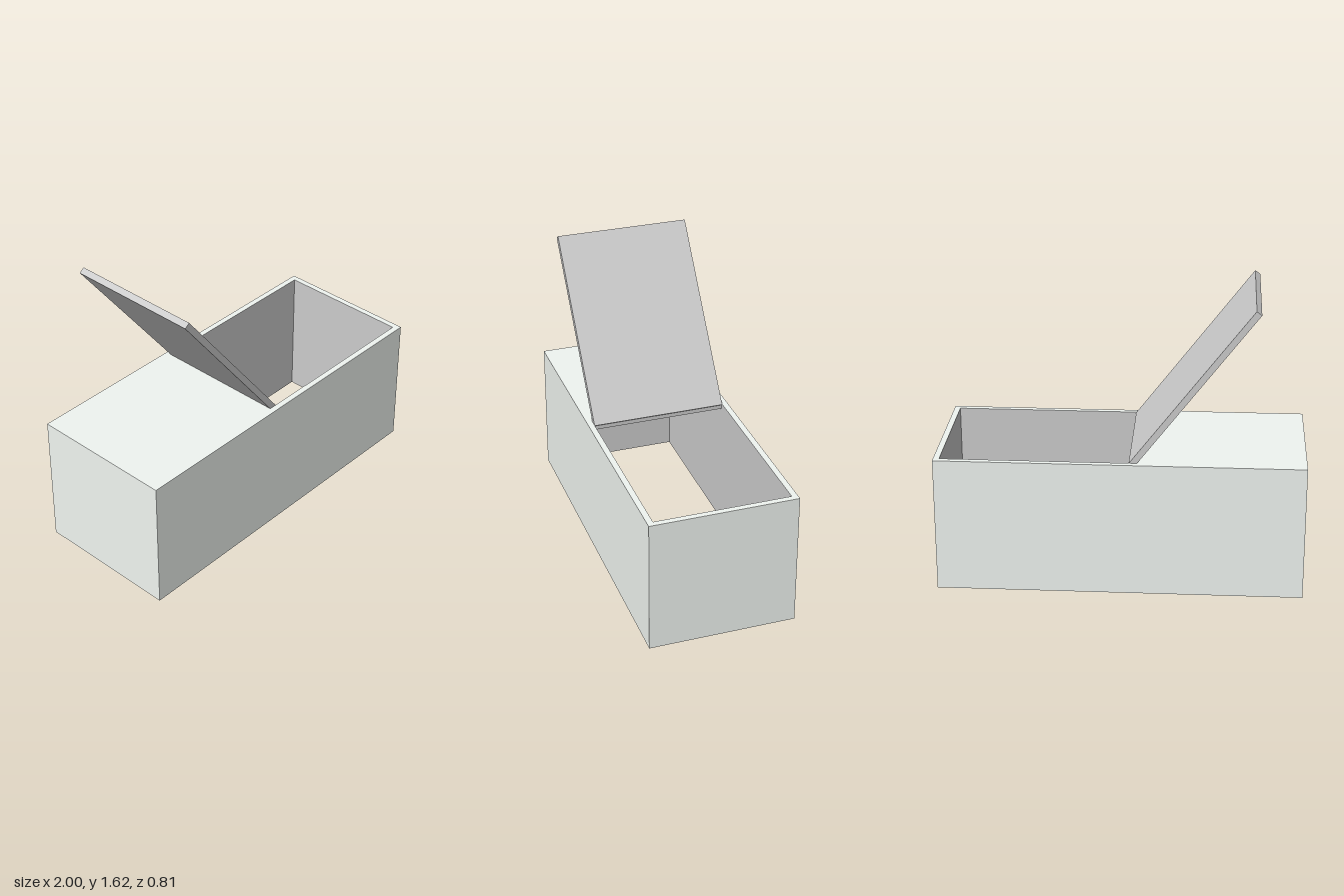
import * as THREE from 'three';

const W = 1, D = 0.407, H = 0.757;   // half width, half depth, height
const T = 0.033;                     // wall thickness
const EDGE = -0.06;                  // where the fixed deck stops

const paint = new THREE.MeshStandardMaterial({ color: 0xf0f5f1 });
const grey = new THREE.MeshStandardMaterial({ color: 0xcccccc });

function add(group, name, geometry, material) {
  const mesh = new THREE.Mesh(geometry, material);
  mesh.name = name;
  group.add(mesh);
  return mesh;
}

// Four upright faces around a rectangle, looking outwards (1) or inwards (-1)
function addWalls(group, prefix, w, d, facing, material) {
  const sides = [
    ['Front', 2 * w, 0, d, 0], ['Back', 2 * w, 0, -d, Math.PI],
    ['Left', 2 * d, w, 0, Math.PI / 2], ['Right', 2 * d, -w, 0, -Math.PI / 2],
  ];
  for (const [side, length, x, z, turn] of sides) {
    const face = add(group, prefix + side, new THREE.PlaneGeometry(length, H), material);
    face.position.set(x, H / 2, z);
    face.rotation.y = turn + (facing < 0 ? Math.PI : 0);
  }
}

// Horizontal face over the whole footprint with a rectangular opening
function frame(x0, x1) {
  const rect = (a, b, d) => [[a, -d], [b, -d], [b, d], [a, d]].map(p => new THREE.Vector2(...p));
  const shape = new THREE.Shape(rect(-W, W, D));
  shape.holes.push(new THREE.Path(rect(x0, x1, D - T).reverse()));
  return new THREE.ShapeGeometry(shape);
}

export function createModel() {
  const model = new THREE.Group();
  model.name = 'openBox';

  // Painted outside: walls, top deck and rim
  const shell = new THREE.Group();
  shell.name = 'outerShell';
  addWalls(shell, 'outer', W, D, 1, paint);
  add(shell, 'topDeck', frame(EDGE, W - T).rotateX(-Math.PI / 2), paint).position.y = H;
  model.add(shell);

  // Bare inside: walls, deck underside, deck edge and bottom rim
  const inside = new THREE.Group();
  inside.name = 'interior';
  addWalls(inside, 'inner', W - T, D - T, -1, grey);
  add(inside, 'bottomRim', frame(-W + T, W - T).rotateX(Math.PI / 2), grey);
  const under = add(inside, 'deckUnderside',
    new THREE.PlaneGeometry(EDGE + W - T, 2 * (D - T)).rotateX(Math.PI / 2), grey);
  under.position.set((EDGE - W + T) / 2, H - T, 0);
  const edge = add(inside, 'deckEdge',
    new THREE.PlaneGeometry(2 * (D - T), T).rotateY(Math.PI / 2), grey);
  edge.position.set(EDGE, H - T / 2, 0);
  model.add(inside);

  // Raised lid, tilted back over the deck from its hinge corner
  const hinge = new THREE.Vector2(-0.05, 0.755), tip = new THREE.Vector2(-0.706, 1.615);
  const along = tip.clone().sub(hinge);
  const length = along.length(), angle = along.angle();
  const lid = add(model, 'lid',
    new THREE.BoxGeometry(length, 0.035, 2 * (D - T)).translate(length / 2, 0.0175, 0), grey);
  lid.position.set(hinge.x, hinge.y, 0);
  lid.rotation.z = angle;

  return model;
}
